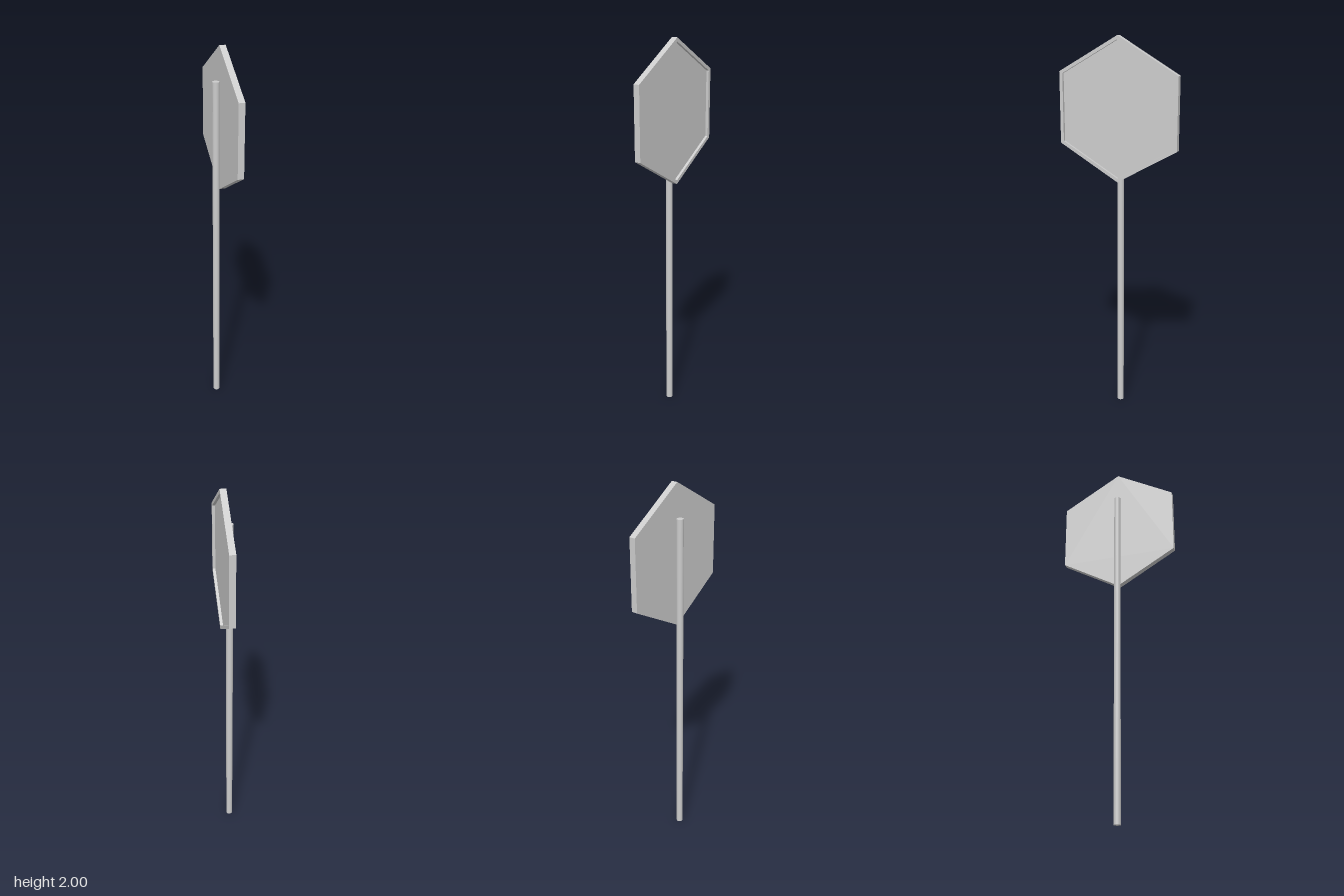
import * as THREE from 'three';

const CENTER_Y = 1.6375, OUTER_R = 0.3625, INNER_R = 0.343;
const BACK_X = 0.001, PLATE_DEPTH = 0.017, RIM_DEPTH = 0.014;

// Corners of a pointed-top hexagon
function hexagon(radius) {
  return Array.from({ length: 6 }, (_, i) => {
    const a = Math.PI / 2 + (i * Math.PI) / 3;
    return new THREE.Vector2(radius * Math.cos(a), radius * Math.sin(a));
  });
}

// Extrudes a shape towards +x, starting at the given x
function slab(name, shape, x, depth, material) {
  const geometry = new THREE.ExtrudeGeometry(shape, { depth, bevelEnabled: false });
  geometry.rotateY(Math.PI / 2);
  const mesh = new THREE.Mesh(geometry, material);
  mesh.name = name;
  mesh.position.set(x, CENTER_Y, 0);
  return mesh;
}

export function createModel() {
  const group = new THREE.Group();
  group.name = 'signpost';
  const material = new THREE.MeshStandardMaterial({ color: 0xcccccc });

  // Round post behind the sign
  const post = new THREE.Mesh(new THREE.CylinderGeometry(0.0175, 0.0175, 1.83, 32), material);
  post.name = 'post';
  post.position.set(-0.0155, 0.915, 0);
  group.add(post);

  // Hexagonal plate facing +x
  group.add(slab('signPlate', new THREE.Shape(hexagon(OUTER_R)), BACK_X, PLATE_DEPTH, material));

  // Raised rim around the plate
  const rim = new THREE.Shape(hexagon(OUTER_R));
  rim.holes.push(new THREE.Path(hexagon(INNER_R).reverse()));
  // Close the hole's outline
  rim.holes[0].closePath();
  group.add(slab('signRim', rim, BACK_X + PLATE_DEPTH, RIM_DEPTH, material));

  return group;
}
